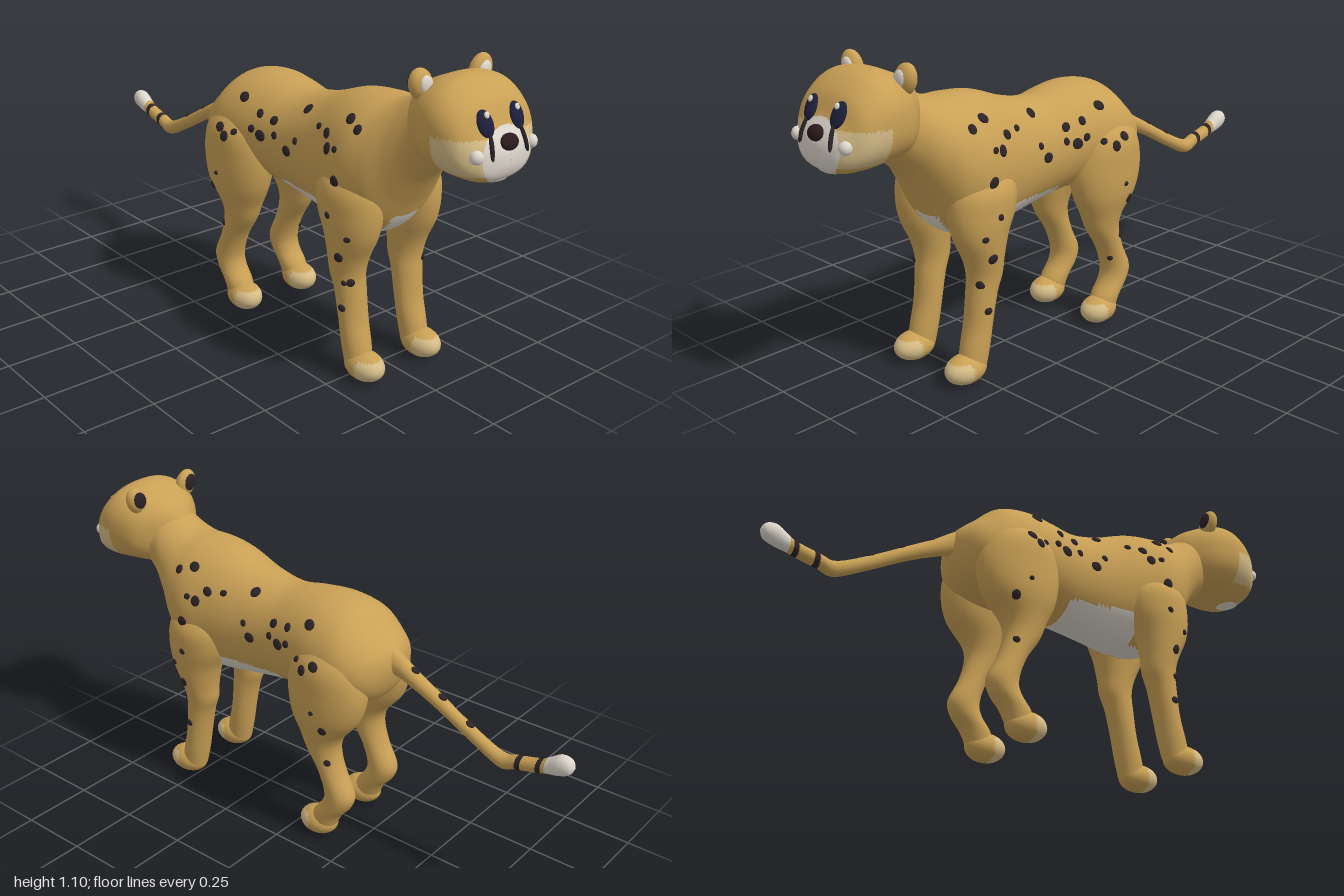
import * as THREE from 'three';

const mat = (name, color) => Object.assign(new THREE.MeshStandardMaterial({ color }), { name });
const M = {
  fur: mat('tan fur', 0xc9a055),
  white: mat('off white', 0xddd6cb),
  cream: mat('cream', 0xd6bd88),
  spot: mat('dark spot', 0x2b2326),
  eye: mat('navy eye', 0x1d1f3a),
  nose: mat('brown nose', 0x2c1a1c),
};

// Smooth tube through elliptical sections [x, y, z, ra, rb].
// axis 'z': sections stand upright, listed by rising z; axis 'y': sections lie flat, listed by falling y.
function loft(stations, axis, rows = 60, cols = 40, power = 2) {
  const centre = new THREE.CatmullRomCurve3(stations.map(s => new THREE.Vector3(s[0], s[1], s[2])), false, 'catmullrom');
  const radii = new THREE.CatmullRomCurve3(stations.map(s => new THREE.Vector3(s[3], s[4], 0)), false, 'catmullrom');
  const pos = [], index = [];
  const round = v => Math.sign(v) * Math.abs(v) ** (2 / power);
  for (let i = 0; i <= rows; i++) {
    const c = centre.getPoint(i / rows), r = radii.getPoint(i / rows);
    for (let j = 0; j < cols; j++) {
      const a = (j / cols) * Math.PI * 2;
      const u = Math.max(r.x, 0.0005) * round(Math.cos(a)), v = Math.max(r.y, 0.0005) * round(Math.sin(a));
      if (axis === 'z') pos.push(c.x + u, c.y + v, c.z);
      else pos.push(c.x + u, c.y, c.z + v);
      if (i === rows) continue;
      const k = (j + 1) % cols, p = i * cols, q = p + cols;
      index.push(p + j, p + k, q + k, p + j, q + k, q + j);
    }
  }
  const g = new THREE.BufferGeometry();
  g.setAttribute('position', new THREE.Float32BufferAttribute(pos, 3));
  g.setIndex(index);
  g.computeVertexNormals();
  return g;
}

// Sort faces into material groups by a rule on the face centre.
function painted(name, geo, mats, rule) {
  const p = geo.attributes.position, idx = geo.index.array, buckets = mats.map(() => []);
  for (let i = 0; i < idx.length; i += 3) {
    const t = [idx[i], idx[i + 1], idx[i + 2]];
    const mid = f => (p[f](t[0]) + p[f](t[1]) + p[f](t[2])) / 3;
    buckets[rule(mid('getX'), mid('getY'), mid('getZ'))].push(...t);
  }
  geo.setIndex(buckets.flat());
  let start = 0;
  buckets.forEach((b, i) => { geo.addGroup(start, b.length, i); start += b.length; });
  const mesh = new THREE.Mesh(geo, mats);
  mesh.name = name;
  return mesh;
}

const ball = new THREE.SphereGeometry(1, 20, 14);
function blob(name, material, position, scale) {
  const m = new THREE.Mesh(ball, material);
  m.name = name;
  m.position.set(...position);
  m.scale.set(...scale);
  return m;
}

export function createModel() {
  const model = new THREE.Group();
  model.name = 'spottedCat';
  const skin = [];
  const addSkin = mesh => { skin.push(mesh); model.add(mesh); };

  // Torso and neck, with a pale belly and chest
  const bodyGeo = loft([
    [0, .70, -.335, 0, 0], [0, .69, -.318, .07, .06], [0, .68, -.29, .13, .10], [0, .68, -.25, .165, .132],
    [0, .695, -.18, .188, .175], [0, .70, -.08, .187, .19], [0, .70, .02, .17, .183], [0, .686, .13, .157, .182],
    [0, .687, .25, .162, .203], [0, .70, .38, .183, .235], [0, .71, .48, .2, .237], [0, .735, .56, .182, .215],
    [0, .795, .62, .15, .175], [0, .858, .68, .125, .145], [0, .90, .74, .11, .13], [0, .92, .8, .08, .1],
  ], 'z', 110, 72);
  addSkin(painted('body', bodyGeo, [M.fur, M.white], (x, y, z) =>
    y < .565 && ((z > .09 && z < .38) || (z >= .38 && z < .62 && Math.abs(x) < .055)) ? 1 : 0));

  // Head with white muzzle and cream cheeks
  const headGeo = loft([
    [0, .93, .64, .04, .05], [0, .93, .68, .1, .1], [0, .932, .74, .155, .13], [0, .94, .80, .176, .143],
    [0, .934, .86, .18, .143], [0, .91, .92, .165, .12], [0, .88, .955, .135, .086], [0, .868, .98, .095, .058],
    [0, .866, .993, .04, .028], [0, .866, .996, 0, 0],
  ], 'z', 100, 80, 2.4);
  const head = painted('head', headGeo, [M.fur, M.white, M.cream], (x, y, z) => {
    if (z > .9 && (x / .1) ** 2 + ((y - .875) / .085) ** 2 < 1) return 1;
    return z > .85 && y > .825 && y < .935 ? 2 : 0;
  });
  addSkin(head);

  // Tail with dark rings and a white tip
  const tailGeo = loft([
    [0, .565, -1, 0, 0], [0, .565, -.985, .022, .026], [0, .56, -.95, .029, .037], [0, .543, -.91, .025, .029],
    [0, .53, -.88, .024, .025], [0, .51, -.8, .024, .025], [0, .499, -.74, .024, .027], [0, .555, -.62, .022, .026],
    [0, .62, -.5, .024, .027], [0, .67, -.4, .027, .032], [0, .705, -.33, .032, .043], [0, .73, -.26, .05, .06],
  ], 'z', 160, 20);
  addSkin(painted('tail', tailGeo, [M.fur, M.white, M.spot], (x, y, z) => {
    if (z < -.905) return 1;
    return Math.abs(z + .81) < .009 || Math.abs(z + .883) < .009 ? 2 : 0;
  }));

  // Legs: [y, z, rx, rz, x]
  const frontLeg = [
    [.74, .46, .05, .07, .1], [.66, .46, .088, .12, .122], [.58, .465, .09, .125, .127], [.5, .475, .08, .1, .13],
    [.42, .465, .067, .072, .13], [.36, .46, .058, .062, .128], [.3, .472, .054, .052, .126], [.2, .488, .052, .046, .125],
    [.12, .505, .05, .05, .126], [.05, .52, .045, .05, .127],
  ];
  const hindLeg = [
    [.78, -.13, .05, .07, .1], [.7, -.13, .095, .13, .117], [.6, -.13, .1, .155, .12], [.5, -.125, .09, .135, .125],
    [.42, -.112, .068, .085, .125], [.36, -.118, .056, .066, .125], [.28, -.155, .05, .05, .125],
    [.2, -.188, .051, .056, .125], [.15, -.178, .05, .056, .125], [.1, -.14, .05, .054, .126], [.05, -.12, .045, .05, .127],
  ];
  for (const side of [1, -1]) {
    const label = side > 0 ? 'left' : 'right';
    for (const [kind, rows, pawZ, pawLength] of [['FrontLeg', frontLeg, .55, .078], ['HindLeg', hindLeg, -.1, .074]]) {
      const leg = new THREE.Mesh(loft(rows.map(([y, z, rx, rz, x]) => [side * x, y, z, rx, rz]), 'y', 50, 28), M.fur);
      leg.name = label + kind;
      addSkin(leg);
      // Paw with cream toes
      const paw = new THREE.SphereGeometry(1, 28, 20).scale(.057, .05, pawLength).translate(side * .128, .052, pawZ);
      model.add(painted(label + kind + 'Paw', paw, [M.fur, M.cream],
        (x, y, z) => (z > pawZ + .01 && y < .085 ? 1 : 0)));
    }
  }

  // Thin marks laid on the skin where a ray meets it
  model.updateMatrixWorld(true);
  const ray = new THREE.Raycaster();
  function mark(name, material, from, dir, scale, tilt = 0, lift = 0) {
    ray.set(new THREE.Vector3(...from), new THREE.Vector3(...dir));
    const hit = ray.intersectObjects(skin, false)[0];
    if (!hit) return;
    const n = hit.face.normal, m = blob(name, material, hit.point.addScaledVector(n, lift).toArray(), scale);
    m.lookAt(hit.point.clone().add(n));
    m.rotateZ(tilt);
    model.add(m);
  }

  // Flank and leg spots: [z, y]
  const spots = [
    [.52, .86], [.46, .88], [.455, .785], [.42, .775], [.38, .815], [.32, .82], [.475, .685], [.465, .575],
    [.52, .51], [.485, .435], [.505, .34], [.49, .25], [.21, .84], [.22, .74], [.19, .695], [.09, .775],
    [.1, .73], [.055, .715], [.015, .73], [.02, .785], [-.07, .82], [-.05, .705], [-.09, .685],
    [-.135, .71], [-.135, .54], [-.17, .475], [-.165, .33], [-.13, .245],
  ];
  for (const side of [1, -1]) {
    spots.forEach(([z, y], i) => {
      const r = (y < .6 ? .012 : .015) + .004 * Math.sin(i * 2.3);
      const shift = side < 0 ? .012 * Math.sin(i * 1.7) : 0;
      mark('spot', M.spot, [side, y, z + shift], [-side, 0, 0], [r, r * 1.15, .007], i);
    });
    mark('legSpot', M.spot, [side * .16, .343, 2], [0, 0, -1], [.014, .014, .007]);
  }
  for (const z of [-.4, -.51, -.62]) mark('tailSpot', M.spot, [0, 2, z], [0, -1, 0], [.014, .016, .007]);

  // Face
  const ahead = [0, 0, -1];
  for (const side of [1, -1]) {
    mark('eye', M.eye, [side * .065, .973, 2], ahead, [.028, .042, .014], side * -.12);
    mark('eyeGlint', M.white, [side * .062, .994, 2], ahead, [.009, .01, .005], 0, .014);
    mark('tearLine', M.spot, [side * .068, .912, 2], ahead, [.007, .04, .009], side * .06);
    mark('cheekTuft', M.white, [side * .115, .89, 2], ahead, [.021, .021, .018]);

    // Ear with pale inside and dark back
    const ear = new THREE.Group();
    ear.name = side > 0 ? 'leftEar' : 'rightEar';
    ear.add(blob('earShell', M.fur, [0, 0, 0], [.041, .052, .028]));
    ear.add(blob('earInside', M.white, [-side * .004, 0, .021], [.024, .031, .011]));
    ear.add(blob('earBack', M.spot, [0, .006, -.021], [.026, .032, .011]));
    ear.position.set(side * .124, 1.053, .75);
    ear.rotation.z = -side * .45;
    model.add(ear);
  }
  mark('nose', M.nose, [0, .917, 2], ahead, [.035, .025, .016]);
  model.add(blob('chin', M.white, [0, .808, .925], [.056, .025, .05]));

  return model;
}
